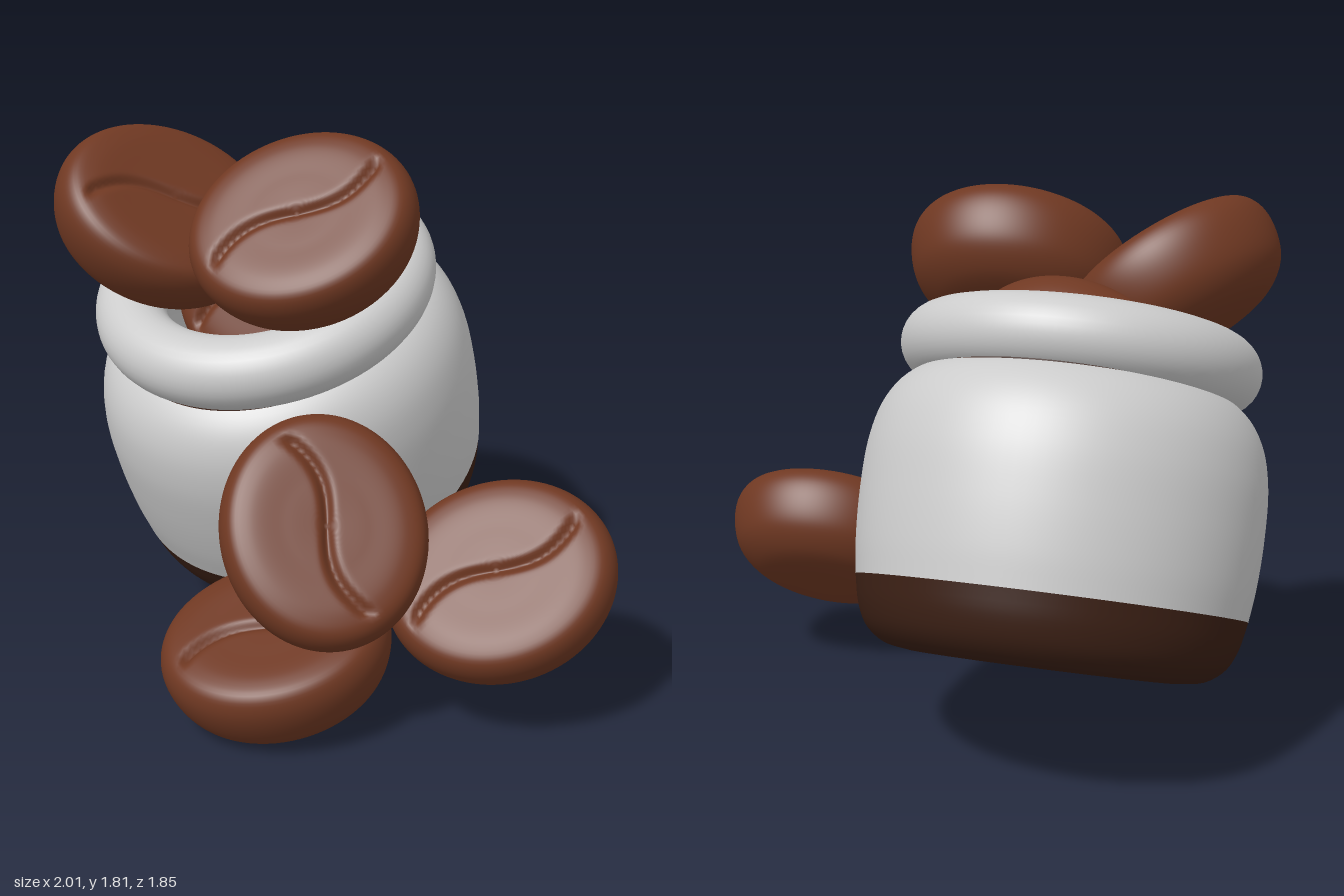
import * as THREE from 'three';
import { mergeVertices } from 'three/addons/utils/BufferGeometryUtils.js';

const grey = new THREE.MeshStandardMaterial({ color: 0xcccccc });
const greyInside = new THREE.MeshStandardMaterial({ color: 0xcccccc, side: THREE.DoubleSide });
const beanBrown = new THREE.MeshStandardMaterial({ color: 0x6f3822 });
const darkBrown = new THREE.MeshStandardMaterial({ color: 0x3a1f14 });

function mesh(name, geometry, material) {
  const m = new THREE.Mesh(geometry, material);
  m.name = name;
  return m;
}

// smooth profile through [radius, height] points
function profile(points, samples) {
  const curve = new THREE.CatmullRomCurve3(points.map(([r, h]) => new THREE.Vector3(r, h, 0)), false, 'centripetal');
  return curve.getSpacedPoints(samples).map((p) => new THREE.Vector2(Math.max(0, p.x), p.y));
}

// oval bean: domed back, nearly flat face (+y) with an S-shaped groove
function beanGeometry() {
  const pts = profile([[0, -0.175], [0.14, -0.17], [0.245, -0.145], [0.32, -0.085], [0.357, 0.01],
    [0.357, 0.085], [0.33, 0.132], [0.275, 0.15], [0.14, 0.152], [0, 0.15]], 76);
  const lathe = new THREE.LatheGeometry(pts, 108);
  lathe.deleteAttribute('uv');
  lathe.deleteAttribute('normal');
  const geo = mergeVertices(lathe, 1e-5);
  const pos = geo.attributes.position;
  const c = Math.cos(0.27), s = Math.sin(0.27);
  for (let i = 0; i < pos.count; i++) {
    const x = pos.getX(i) * 1.035, z = pos.getZ(i) * 0.9;
    let y = pos.getY(i);
    if (y > 0.08) {
      const t = x * c - z * s, q = -x * s - z * c;
      const d = q + 0.045 * Math.sin((2 * Math.PI * t) / 0.62);
      const fade = 1 - THREE.MathUtils.smoothstep(Math.abs(t), 0.28, 0.32);
      y -= 0.024 * fade * Math.exp(-((d / 0.018) ** 2));
    }
    pos.setXYZ(i, x, y, z);
  }
  geo.computeVertexNormals();
  return geo;
}

export function createModel() {
  const model = new THREE.Group();

  // tilted jar
  const jar = new THREE.Group();
  jar.name = 'jar';
  jar.position.set(-0.355, 0.187, -0.463);
  jar.rotation.x = THREE.MathUtils.degToRad(22);
  model.add(jar);

  // body, slightly deeper than wide
  const body = new THREE.Group();
  body.name = 'jarBody';
  body.position.z = 0.02;
  body.scale.z = 1.06;
  jar.add(body);

  const basePts = [new THREE.Vector2(0, 0.175),
    ...profile([[0.43, 0.175], [0.51, 0.19], [0.57, 0.235], [0.603, 0.3], [0.624, 0.392]], 16)];
  body.add(mesh('jarBase', new THREE.LatheGeometry(basePts, 96), darkBrown));

  const wallPts = profile([[0.624, 0.392], [0.638, 0.5], [0.646, 0.66], [0.64, 0.82],
    [0.612, 0.94], [0.565, 1.02], [0.5, 1.072], [0.44, 1.09]], 32);
  body.add(mesh('jarWall', new THREE.LatheGeometry(wallPts, 96), grey));

  const innerPts = [new THREE.Vector2(0, 0.3),
    ...profile([[0.5, 0.3], [0.57, 0.4], [0.59, 0.66], [0.57, 0.88], [0.48, 1.02], [0.38, 1.1]], 24)];
  body.add(mesh('jarInside', new THREE.LatheGeometry(innerPts, 96), greyInside));

  const neck = mesh('neckBand', new THREE.CylinderGeometry(0.505, 0.515, 0.02, 96, 1, true), darkBrown);
  neck.position.y = 1.066;
  body.add(neck);

  const rim = mesh('jarRim', new THREE.TorusGeometry(0.465, 0.12, 32, 96), grey);
  rim.rotation.x = Math.PI / 2;
  rim.position.set(0, 1.166, 0.02);
  jar.add(rim);

  // beans: name, centre, face normal, long axis
  const beans = [
    ['topRightBean', [-0.08, 1.505, 0.18], [0.1, 0.72, 0.69], [0.82, 0.39, -0.41]],
    ['topLeftBean', [-0.635, 1.485, 0.185], [0.62, 0.74, 0.26], [0.673, -0.331, -0.659]],
    ['insideBean', [-0.365, 1.22, -0.15], [0, 0.37, 0.93], [0.9, 0.4, -0.16]],
    ['leaningBean', [0.155, 0.655, 0.52], [0.49, 0.6, 0.64], [0.428, -0.8, 0.42]],
    ['sideBean', [0.65, 0.465, 0.23], [0.1, 0.72, 0.69], [0.82, 0.39, -0.41]],
    ['bottomBean', [0.025, 0.22, 0.58], [0, 0.94, 0.33], [0.82, 0.19, -0.54]],
  ];
  const geo = beanGeometry();
  for (const [name, centre, normal, axis] of beans) {
    const bean = mesh(name, geo, beanBrown);
    const up = new THREE.Vector3(...normal).normalize();
    const side = new THREE.Vector3(...axis).cross(up).normalize();
    const along = new THREE.Vector3().crossVectors(up, side);
    bean.quaternion.setFromRotationMatrix(new THREE.Matrix4().makeBasis(along, up, side));
    bean.position.set(...centre);
    model.add(bean);
  }
  return model;
}
